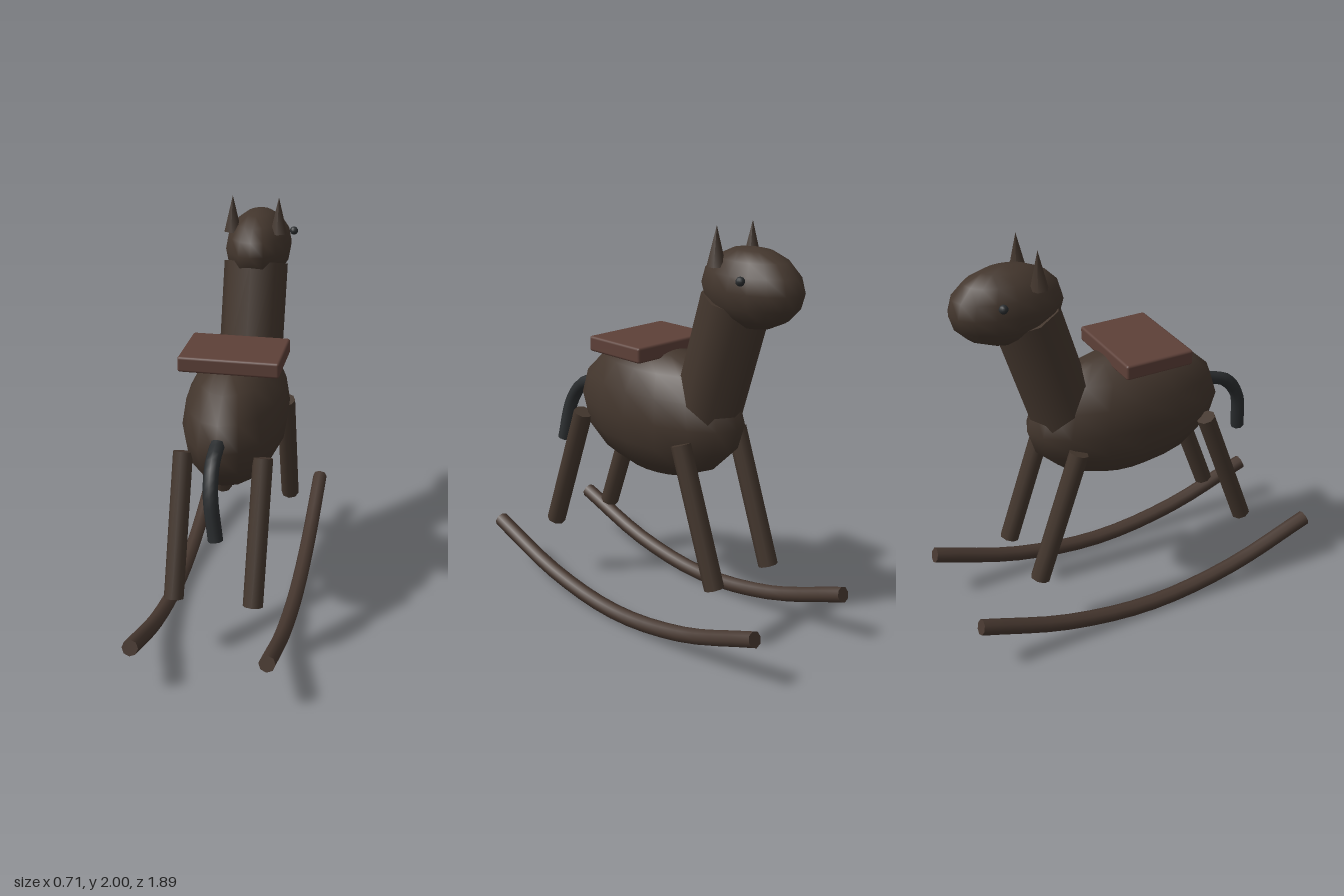
import * as THREE from 'three';
import { RoundedBoxGeometry } from 'three/addons/geometries/RoundedBoxGeometry.js';

const material = (name, color) => {
  const m = new THREE.MeshStandardMaterial({ color });
  m.name = name;
  return m;
};

export function createModel() {
  const coat = material('dark brown coat', 0x43362d);
  const wood = material('rocker wood', 0x46372f);
  const leather = material('saddle leather', 0x5d4038);
  const charcoal = material('charcoal', 0x2a2d2f);

  const model = new THREE.Group();
  model.name = 'rockingHorse';
  const v = (x, y, z) => new THREE.Vector3(x, y, z);

  const add = (name, geometry, mat, pos = v(0, 0, 0), parent = model) => {
    const mesh = new THREE.Mesh(geometry, mat);
    mesh.name = name;
    mesh.position.copy(pos);
    parent.add(mesh);
    return mesh;
  };

  const ellipsoid = (name, r, pos) =>
    add(name, new THREE.SphereGeometry(1, 16, 8).scale(r.x, r.y, r.z), coat, pos);

  // Straight round bar between two points
  const bar = (name, a, b, radius) => {
    const geometry = new THREE.CylinderGeometry(radius, radius, a.distanceTo(b), 8);
    const mesh = add(name, geometry, coat, a.clone().lerp(b, 0.5));
    mesh.quaternion.setFromUnitVectors(v(0, 1, 0), b.clone().sub(a).normalize());
  };

  // Bent bar with closed ends
  const bentBar = (name, points, radius, segments, mat) => {
    const group = new THREE.Group();
    group.name = name;
    model.add(group);
    const curve = new THREE.CatmullRomCurve3(points);
    add(name + 'Bar', new THREE.TubeGeometry(curve, segments, radius, 8), mat, undefined, group);
    for (const [t, sign] of [[0, -1], [1, 1]]) {
      const cap = add(name + 'End', new THREE.CircleGeometry(radius, 8), mat, curve.getPointAt(t), group);
      cap.quaternion.setFromUnitVectors(v(0, 0, 1), curve.getTangentAt(t).multiplyScalar(sign));
    }
  };

  // Body, neck and head; the nose points to -z
  ellipsoid('body', v(0.25, 0.325, 0.514), v(0, 1.047, -0.004));
  bar('neck', v(0, 1.1, -0.326), v(0, 1.66, -0.498), 0.163);
  ellipsoid('head', v(0.165, 0.183, 0.27), v(0, 1.727, -0.587));

  // Saddle block
  add('saddle', new RoundedBoxGeometry(0.48, 0.075, 0.352, 2, 0.012), leather, v(0, 1.366, 0.065));

  // Tail
  bentBar('tail', [v(0, 1.085, 0.47), v(0, 1.04, 0.59), v(0.008, 0.93, 0.67), v(0.037, 0.72, 0.705)],
    0.035, 12, charcoal);

  // Mirrored parts
  for (const s of [-1, 1]) {
    const x = s * 0.19;
    bar('hindLeg', v(x, 0.325, 0.602), v(x, 0.98, 0.358), 0.048);
    bar('foreLeg', v(x, 0.325, -0.567), v(x, 0.98, -0.34), 0.048);
    add('ear', new THREE.ConeGeometry(0.045, 0.18, 6), coat, v(s * 0.116, 1.91, -0.478));
    add('eye', new THREE.SphereGeometry(0.021, 10, 8), charcoal, v(s * 0.167, 1.787, -0.667));

    const rx = s * 0.314;
    bentBar('rocker', [v(rx, 0.255, 0.933), v(rx, 0.1, 0.47), v(rx, 0.04, 0), v(rx, 0.1, -0.47), v(rx, 0.255, -0.933)],
      0.039, 16, wood);
  }
  return model;
}
